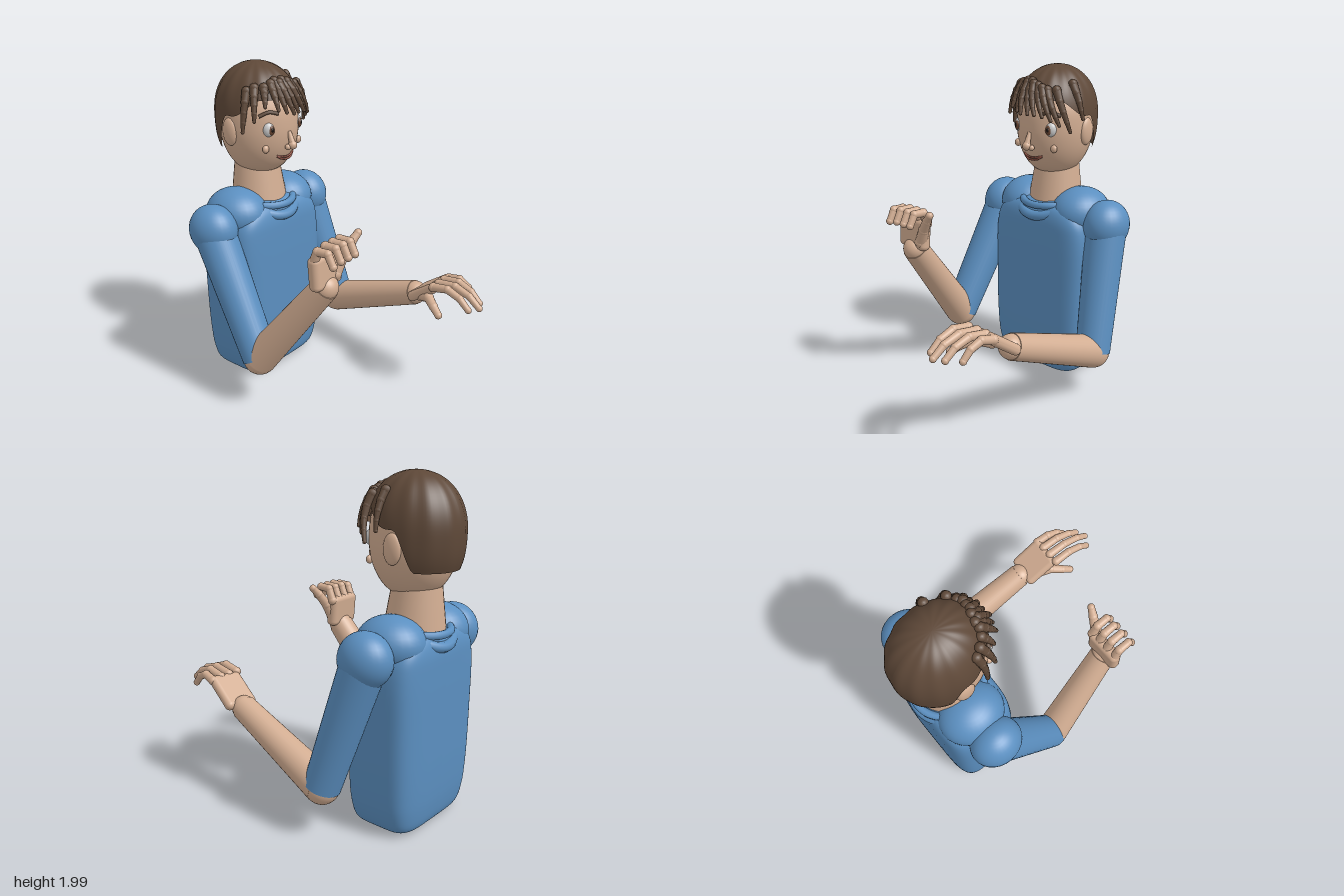
import * as THREE from 'three';
import { RoundedBoxGeometry } from 'three/addons/geometries/RoundedBoxGeometry.js';

const mat = (color) => new THREE.MeshStandardMaterial({ color });
const skin = mat(0xd2ad92), blue = mat(0x5b8fc0), hair = mat(0x5e4838);
const white = mat(0xd8d8d8), brown = mat(0x6a4632), dark = mat(0x1c1614), lip = mat(0x9a5a4c);
const V = (p) => new THREE.Vector3(...p);
const CX = -0.02;

function add(parent, name, geometry, material, pos = [0, 0, 0]) {
  const m = new THREE.Mesh(geometry, material);
  m.name = name;
  m.position.set(...pos);
  parent.add(m);
  return m;
}

function ball(parent, name, material, pos, r, seg = 28) {
  const m = add(parent, name, new THREE.SphereGeometry(1, seg, Math.ceil(seg * 0.7)), material, pos);
  m.scale.set(...(Array.isArray(r) ? r : [r, r, r]));
  return m;
}

// Tapered cylinder between two points
function limb(parent, name, material, a, b, ra, rb, seg = 32) {
  const A = V(a), B = V(b), d = B.clone().sub(A);
  const m = add(parent, name, new THREE.CylinderGeometry(rb, ra, d.length(), seg), material);
  m.position.copy(A).lerp(B, 0.5);
  m.quaternion.setFromUnitVectors(new THREE.Vector3(0, 1, 0), d.normalize());
  return m;
}

// Jointed chain of limbs: fingers and hair locks
function chain(parent, name, material, pts, r0, r1, seg = 12) {
  const g = new THREE.Group();
  g.name = name;
  parent.add(g);
  const r = (i) => r0 + (r1 - r0) * i / (pts.length - 1);
  pts.forEach((p, i) => {
    ball(g, name + 'Joint', material, p, r(i) * 1.04, seg);
    if (i) limb(g, name + 'Segment', material, pts[i - 1], p, r(i - 1) * 0.97, r(i) * 0.97, seg);
  });
}

function tube(parent, name, material, pts, r, closed = false) {
  const curve = new THREE.CatmullRomCurve3(pts.map(V), closed);
  return add(parent, name, new THREE.TubeGeometry(curve, closed ? 64 : 16, r, 10, closed), material);
}

// Rounded-rectangle loft through [halfWidth, y, halfDepth] sections, top to bottom
function torsoGeometry() {
  const rows = new THREE.CatmullRomCurve3([
    [0, 1.18, 0], [0.15, 1.17, 0.13], [0.27, 1.13, 0.195], [0.335, 1.06, 0.22], [0.362, 0.95, 0.226],
    [0.366, 0.65, 0.227], [0.358, 0.3, 0.223], [0.342, 0.14, 0.213], [0.31, 0.05, 0.195],
    [0.25, 0.018, 0.16], [0, 0.01, 0]].map(V)).getPoints(50);
  const g = new THREE.CylinderGeometry(1, 1, 1, 64, 50, true);
  const p = g.attributes.position;
  const power = (v) => Math.sign(v) * Math.pow(Math.abs(v), 0.42);
  for (let i = 0; i < p.count; i++) {
    const s = rows[Math.floor(i / 65)], a = (i % 65) / 64 * Math.PI * 2 + Math.PI;
    p.setXYZ(i, Math.max(s.x, 0) * power(Math.sin(a)), s.y, Math.max(s.z, 0) * power(Math.cos(a)));
  }
  g.computeVertexNormals();
  return g;
}

// Point on the hair shell at azimuth a (0 = front) and height y
function hairPoint(a, y, grow = 0) {
  const t = Math.min(1, Math.abs(y - 1.68) / 0.32), n = t && y < 1.68 ? 2.7 : 2.1;
  const r = Math.pow(1 - Math.pow(t, n), 1 / n);
  return [CX + Math.sin(a) * (0.243 * r + grow), y, -0.56 + Math.cos(a) * (0.285 * r + grow)];
}

function hairGeometry() {
  const cols = 96, rows = 28;
  const g = new THREE.CylinderGeometry(1, 1, 1, cols, rows, true);
  const p = g.attributes.position, step = THREE.MathUtils.smoothstep;
  for (let i = 0; i < p.count; i++) {
    const k = Math.floor(i / (cols + 1)) / rows, a = (i % (cols + 1)) / cols * Math.PI * 2 + Math.PI;
    const side = Math.abs(Math.atan2(Math.sin(a), Math.cos(a)));
    const edge = 1.81 - 0.1 * step(side, 0.8, 1.5) - 0.22 * step(side, 1.65, 2.1);
    const y = edge + (2 - edge) * Math.cos(k * Math.PI / 2);
    p.setXYZ(i, ...hairPoint(a, y, 0.003 * Math.sin(a * 14) * Math.sin(k * Math.PI)));
  }
  g.computeVertexNormals();
  return g;
}

function buildHead(root) {
  const head = new THREE.Group();
  head.name = 'head';
  root.add(head);
  const profile = new THREE.SplineCurve([[0, 1.33], [0.08, 1.337], [0.14, 1.37], [0.19, 1.44], [0.222, 1.53],
    [0.234, 1.64], [0.22, 1.77], [0.15, 1.9], [0, 1.95]].map((q) => new THREE.Vector2(...q)));
  const skull = add(head, 'face', new THREE.LatheGeometry(profile.getPoints(40).map((q) => q.setX(Math.max(q.x, 0))), 48),
    skin, [CX, 0, -0.555]);
  skull.scale.z = 1.07;
  limb(head, 'neck', skin, [CX, 1.1, -0.575], [CX, 1.42, -0.585], 0.18, 0.135);

  const cap = add(head, 'hairCap', hairGeometry(), hair);
  cap.material = hair.clone();
  cap.material.side = THREE.DoubleSide;

  for (const s of [-1, 1]) {
    const x = (d) => CX + s * d;
    ball(head, 'ear', skin, [x(0.228), 1.61, -0.575], [0.028, 0.085, 0.055]);
    ball(head, 'eyeWhite', white, [x(0.128), 1.637, -0.355], [0.034, 0.043, 0.026]).rotation.y = s * 0.5;
    ball(head, 'iris', brown, [x(0.126), 1.635, -0.337], [0.021, 0.03, 0.014]).rotation.y = s * 0.5;
    ball(head, 'pupil', dark, [x(0.125), 1.637, -0.327], [0.01, 0.015, 0.008]);
    ball(head, 'cheek', skin, [x(0.145), 1.52, -0.367], [0.022, 0.024, 0.018]);
    ball(head, 'nostril', skin, [x(0.026), 1.52, -0.298], 0.018);
    tube(head, 'eyebrow', hair, [[x(0.18), 1.72, -0.382], [x(0.13), 1.742, -0.345], [x(0.08), 1.728, -0.318]], 0.011);
  }
  limb(head, 'noseBridge', skin, [CX, 1.61, -0.31], [CX, 1.54, -0.285], 0.012, 0.02);
  ball(head, 'noseTip', skin, [CX, 1.53, -0.283], 0.027);
  const smile = (dy) => [[-0.072, 1.465, -0.35], [-0.035, 1.452 + dy, -0.336], [0, 1.448 + dy, -0.332],
    [0.035, 1.452 + dy, -0.336], [0.072, 1.465, -0.35]].map(([x, y, z]) => [x + CX, y, z]);
  tube(head, 'upperLip', lip, smile(0.004), 0.006);
  tube(head, 'lowerLip', lip, smile(-0.01), 0.006);

  // Fringe locks: [start azimuth, start y, end azimuth, end y]
  const locks = [[-1.15, 1.86, -1.2, 1.63], [-0.95, 1.88, -0.95, 1.7], [-0.7, 1.88, -0.72, 1.78],
    [-0.5, 1.9, -0.45, 1.76], [-0.36, 1.91, -0.25, 1.74], [-0.24, 1.9, -0.08, 1.73], [-0.1, 1.91, 0.1, 1.73],
    [0.05, 1.9, 0.28, 1.73], [0.2, 1.89, 0.45, 1.72], [0.35, 1.88, 0.64, 1.7], [0.5, 1.87, 0.82, 1.67],
    [0.75, 1.87, 1.05, 1.63], [1.25, 1.9, 1.35, 1.7]];
  locks.forEach(([a0, y0, a1, y1], i) => {
    const pts = [0, 0.25, 0.5, 0.75, 1].map((t) =>
      hairPoint(a0 + (a1 - a0) * t, y0 + (y1 - y0) * t, 0.006 + 0.018 * t + (i % 2) * 0.008));
    chain(head, 'fringeLock', hair, pts, 0.028, 0.011, 10);
  });
}

function buildTorso(root) {
  add(root, 'torso', torsoGeometry(), blue, [CX, 0, -0.565]);
  for (const s of [-1, 1]) ball(root, 'shoulderYoke', blue, [CX + s * 0.21, 1.1, -0.57], [0.18, 0.155, 0.2]);
  // Two collar rings, lifted at the sides
  for (const [rx, rz, y, rise, r] of [[0.19, 0.213, 1.145, 0.01, 0.023], [0.21, 0.215, 1.075, 0.08, 0.032]]) {
    const pts = [];
    for (let i = 0; i < 16; i++) {
      const a = i / 16 * Math.PI * 2, c = Math.cos(a);
      pts.push([CX + rx * c, y + rise * c * c, -0.565 + rz * Math.sin(a)]);
    }
    tube(root, 'collar', blue, pts, r, true);
  }
}

function buildArm(root, name, shoulder, elbow, wrist) {
  const arm = new THREE.Group();
  arm.name = name;
  root.add(arm);
  ball(arm, 'shoulder', blue, shoulder, [0.137, 0.155, 0.158]);
  limb(arm, 'upperArm', blue, shoulder, elbow, 0.128, 0.107);
  ball(arm, 'elbow', skin, elbow, 0.103);
  limb(arm, 'forearm', skin, elbow, wrist, 0.104, 0.078);
  ball(arm, 'wrist', skin, wrist, 0.074);
  return arm;
}

export function createModel() {
  const root = new THREE.Group();
  root.name = 'figure';
  buildTorso(root);
  buildHead(root);

  // Left arm reaches forward with an open hand
  const left = buildArm(root, 'leftArm', [0.4, 1.055, -0.56], [0.495, 0.3, -0.345], [0.43, 0.565, 0.34]);
  const leftPalm = add(left, 'palm', new RoundedBoxGeometry(0.215, 0.065, 0.25, 4, 0.03), skin, [0.415, 0.64, 0.455]);
  leftPalm.rotation.set(-0.62, -0.12, 0);
  [[0.3, 0.28, 0.8], [0.365, 0.34, 0.84], [0.43, 0.4, 0.81], [0.49, 0.46, 0.74]].forEach(([x0, x1, z1], i) => {
    const pts = [[0, 0.715], [0.4, 0.735], [0.75, 0.705], [1, 0.65]].map(([t, y]) =>
      [x0 + (x1 - x0) * t, y - (i === 3 ? 0.01 : 0), 0.545 + (z1 - 0.545) * t]);
    chain(left, 'finger', skin, pts, 0.028, 0.02, 14);
  });
  chain(left, 'thumb', skin, [[0.36, 0.6, 0.42], [0.31, 0.63, 0.51], [0.265, 0.605, 0.575], [0.24, 0.575, 0.625]], 0.036, 0.023, 14);

  // Right arm is raised with curled fingers
  const right = buildArm(root, 'rightArm', [-0.44, 1.05, -0.56], [-0.493, 0.335, -0.16], [-0.42, 0.92, 0.29]);
  add(right, 'palm', new RoundedBoxGeometry(0.23, 0.2, 0.075, 4, 0.032), skin, [-0.42, 1.025, 0.285]).rotation.x = -0.08;
  [-0.505, -0.44, -0.377, -0.317].forEach((x, i) => {
    const y = i === 0 ? -0.01 : 0;
    chain(right, 'finger', skin, [[x, 1.1 + y, 0.275], [x, 1.175 + y, 0.305], [x, 1.18 + y, 0.375],
      [x, 1.115 + y, 0.41]], 0.028, 0.022, 14);
  });
  chain(right, 'thumb', skin, [[-0.35, 0.98, 0.3], [-0.305, 1.07, 0.315], [-0.25, 1.145, 0.335], [-0.21, 1.19, 0.35]], 0.038, 0.022, 14);
  return root;
}
